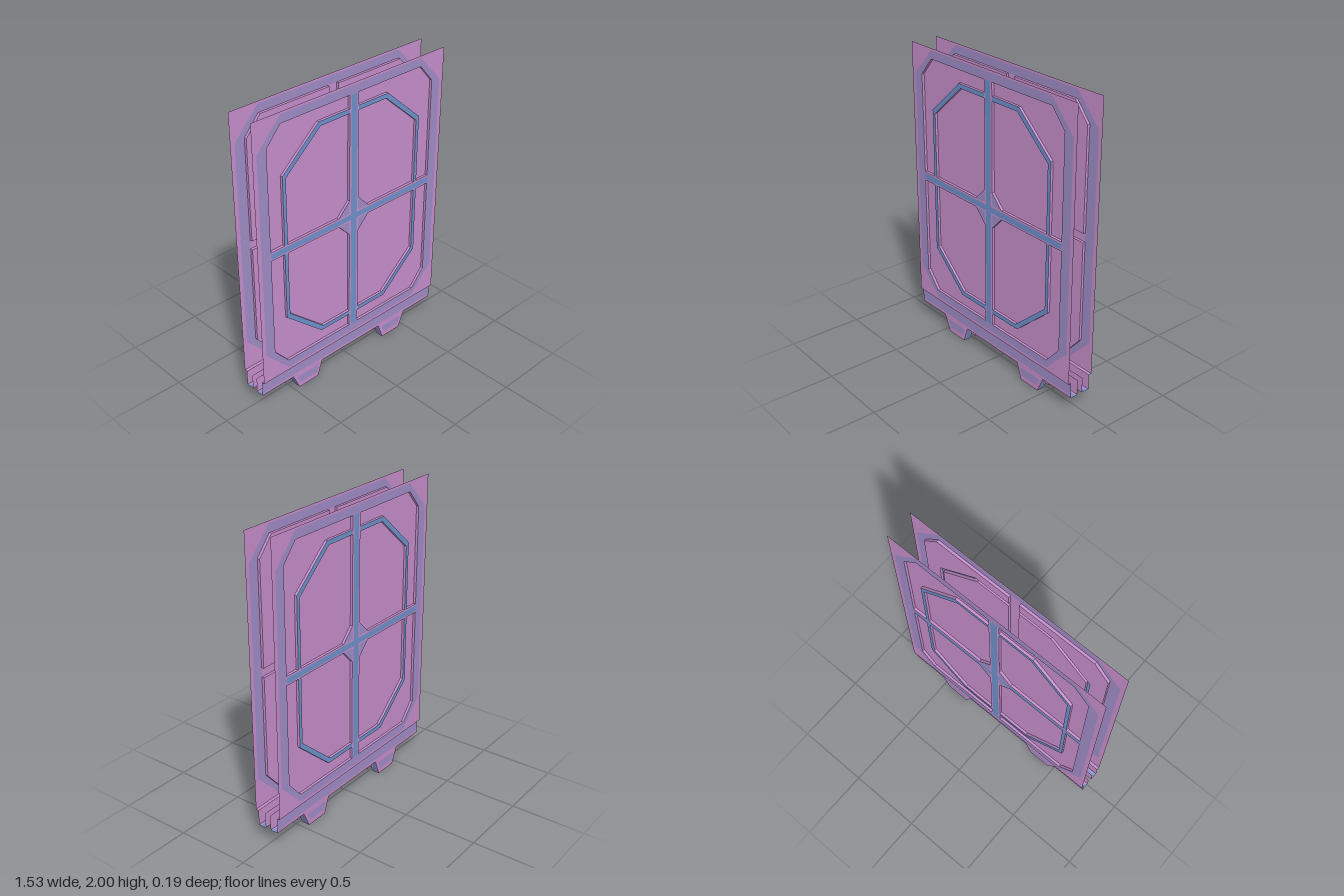
import * as THREE from 'three';

const mat = (name, color) => new THREE.MeshStandardMaterial({ name, color, side: THREE.DoubleSide });

export function createModel() {
  const pink = mat('pink', 0xc88fcd);
  const violet = mat('violet', 0xa08dc8);
  const blue = mat('blue', 0x6f92cd);

  const CY = 1.11;                       // height of the crossbar
  const FACE = 0.094, PANE = 0.077;      // raised and recessed sheet depths
  const BASE = 0.074, INNER = 0.02;      // front and inner walls of the base

  const V = (pts) => pts.map(([x, y]) => new THREE.Vector2(x, y));
  const rect = (x0, y0, x1, y1) => [[x0, y0], [x1, y0], [x1, y1], [x0, y1]];
  const add = (group, name, geometry, material) => {
    const mesh = new THREE.Mesh(geometry, material);
    mesh.name = name;
    group.add(mesh);
  };

  // Flat sheet at depth z with an optional opening
  const sheet = (group, name, pts, z, material, hole) => {
    const shape = new THREE.Shape(V(pts));
    if (hole) shape.holes.push(new THREE.Path(V(hole)));
    add(group, name, new THREE.ShapeGeometry(shape).translate(0, 0, z), material);
  };

  // Strip of wall following an outline between two depths
  const walls = (group, name, pts, z0, z1, material, closed = true) => {
    const pos = [];
    const n = closed ? pts.length : pts.length - 1;
    for (let i = 0; i < n; i++) {
      const [ax, ay] = pts[i], [bx, by] = pts[(i + 1) % pts.length];
      pos.push(ax, ay, z0, bx, by, z0, bx, by, z1, ax, ay, z0, bx, by, z1, ax, ay, z1);
    }
    const g = new THREE.BufferGeometry();
    g.setAttribute('position', new THREE.Float32BufferAttribute(pos, 3));
    g.computeVertexNormals();
    add(group, name, g, material);
  };

  // Eight-sided outline around the crossbar centre
  const octagon = (x, y, cx, cy) => [
    [x, CY - cy], [x, CY + cy], [cx, CY + y], [-cx, CY + y],
    [-x, CY + cy], [-x, CY - cy], [-cx, CY - y], [cx, CY - y],
  ];

  // One quadrant: outer channel, raised ring and inner pane
  const channel = [[0.037, 0.735], [0.28, 0.735], [0.56, 0.49], [0.56, 0.03],
    [0.665, 0.03], [0.665, 0.70], [0.56, 0.82], [0.037, 0.82]];
  const pane = [[0.037, 0.12], [0.037, 0.705], [0.265, 0.705],
    [0.535, 0.47], [0.535, 0.03], [0.125, 0.03]];
  const ring = [[0.037, 0.705], [0.265, 0.705], [0.535, 0.47], [0.535, 0.03],
    [0.56, 0.03], [0.56, 0.49], [0.28, 0.735], [0.037, 0.735]];

  function buildPanel() {
    const p = new THREE.Group();

    // Frame with a violet border around the opening
    const border = octagon(0.735, 0.875, 0.56, 0.69);
    const opening = octagon(0.665, 0.82, 0.56, 0.70);
    sheet(p, 'frame', rect(-0.765, 0.215, 0.765, 2), FACE, pink, border);
    sheet(p, 'frameBorder', border, FACE, violet, opening);

    for (const sx of [1, -1]) for (const sy of [1, -1]) {
      const place = (pts) => pts.map(([x, y]) => [sx * x, CY + sy * y]);
      sheet(p, 'channelFloor', place(channel), PANE, pink);
      walls(p, 'channelWalls', place(channel), PANE, FACE, pink);
      sheet(p, 'pane', place(pane), PANE, pink);
      walls(p, 'paneWalls', place(pane), PANE, FACE, pink);
      sheet(p, 'ring', place(ring), FACE, blue);
      sheet(p, 'gusset', place([[0.037, 0.03], [0.125, 0.03], [0.037, 0.12]]), FACE, violet);
    }

    // Crossbars with blue centre strips
    sheet(p, 'uprightBar', rect(-0.037, CY - 0.82, 0.037, CY + 0.82), FACE, pink);
    for (const s of [1, -1]) {
      sheet(p, 'crossBar', rect(s * 0.037, CY - 0.03, s * 0.665, CY + 0.03), FACE, pink);
    }
    sheet(p, 'uprightStripe', rect(-0.024, CY - 0.82, 0.024, CY + 0.82), FACE + 0.001, blue);
    sheet(p, 'crossStripe', rect(-0.665, CY - 0.019, 0.665, CY + 0.019), FACE + 0.0015, blue);

    // Base rail and two tapered feet, open on top and at the ends
    const underside = [[-0.765, 0.11], [-0.51, 0.11], [-0.46, 0.005], [-0.30, 0.005], [-0.26, 0.11],
      [0.26, 0.11], [0.30, 0.005], [0.46, 0.005], [0.51, 0.11], [0.765, 0.11]]
      .map(([x, y]) => [x, y < 0.05 ? 0 : y]);
    const rail = [...underside, [0.765, 0.215], [-0.765, 0.215]];
    sheet(p, 'baseFront', rail, BASE, pink);
    sheet(p, 'baseInner', rail, INNER, pink);
    walls(p, 'baseBottomInner', underside, INNER, 0.032, pink, false);
    walls(p, 'baseBottomMiddle', underside, 0.032, 0.056, blue, false);
    walls(p, 'baseBottomOuter', underside, 0.056, BASE, violet, false);
    walls(p, 'frameLedge', [[-0.765, 0.215], [0.765, 0.215]], BASE, FACE, pink, false);

    // Painted bands on the rail and feet
    sheet(p, 'baseBand', rect(-0.765, 0.13, 0.765, 0.205), BASE + 0.001, violet);
    for (const s of [1, -1]) {
      sheet(p, 'footBand', [[s * 0.31, 0.035], [s * 0.45, 0.035], [s * 0.475, 0.09], [s * 0.29, 0.09]],
        BASE + 0.001, violet);
    }
    return p;
  }

  // Two identical panels, back to back
  const model = new THREE.Group();
  model.name = 'doublePanel';
  const front = buildPanel();
  front.name = 'frontPanel';
  const back = buildPanel();
  back.name = 'backPanel';
  back.rotation.y = Math.PI;
  model.add(front, back);
  return model;
}
